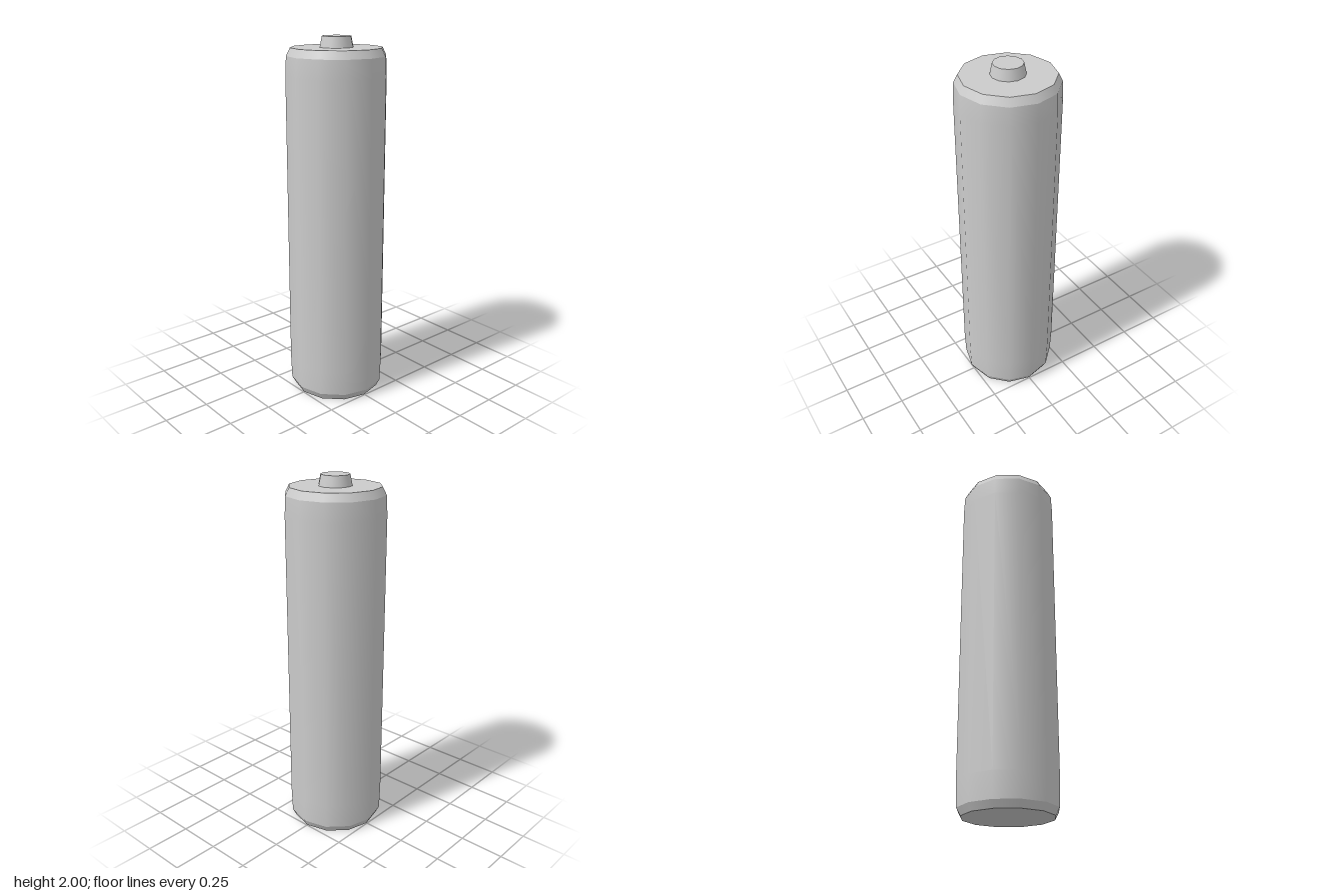
import * as THREE from 'three';

const SIDES = 12;
const material = new THREE.MeshStandardMaterial({ color: 0xcccccc });

// One turned band; bands are separate so the rims between them stay sharp.
function band(name, profile) {
  const points = profile.map(([r, y]) => new THREE.Vector2(r, y));
  const mesh = new THREE.Mesh(new THREE.LatheGeometry(points, SIDES), material);
  mesh.name = name;
  return mesh;
}

export function createModel() {
  const battery = new THREE.Group();
  battery.name = 'battery';

  // Casing: slightly tapered at both ends, with a bevel at each rim
  const casing = new THREE.Group();
  casing.name = 'casing';
  casing.add(
    band('bottomCap', [[0, 0], [0.246, 0]]),
    band('bottomBevel', [[0.246, 0], [0.267, 0.04]]),
    band('sleeve', [[0.267, 0.04], [0.272, 0.18], [0.272, 1.8], [0.267, 1.9]]),
    band('topBevel', [[0.267, 1.9], [0.246, 1.942]]),
    band('topCap', [[0.246, 1.942], [0, 1.942]]),
  );

  // Raised contact on top, narrowing upwards
  const terminal = new THREE.Group();
  terminal.name = 'terminal';
  terminal.add(
    band('terminalSide', [[0.09, 1.942], [0.078, 2]]),
    band('terminalTop', [[0.078, 2], [0, 2]]),
  );

  battery.add(casing, terminal);
  return battery;
}
